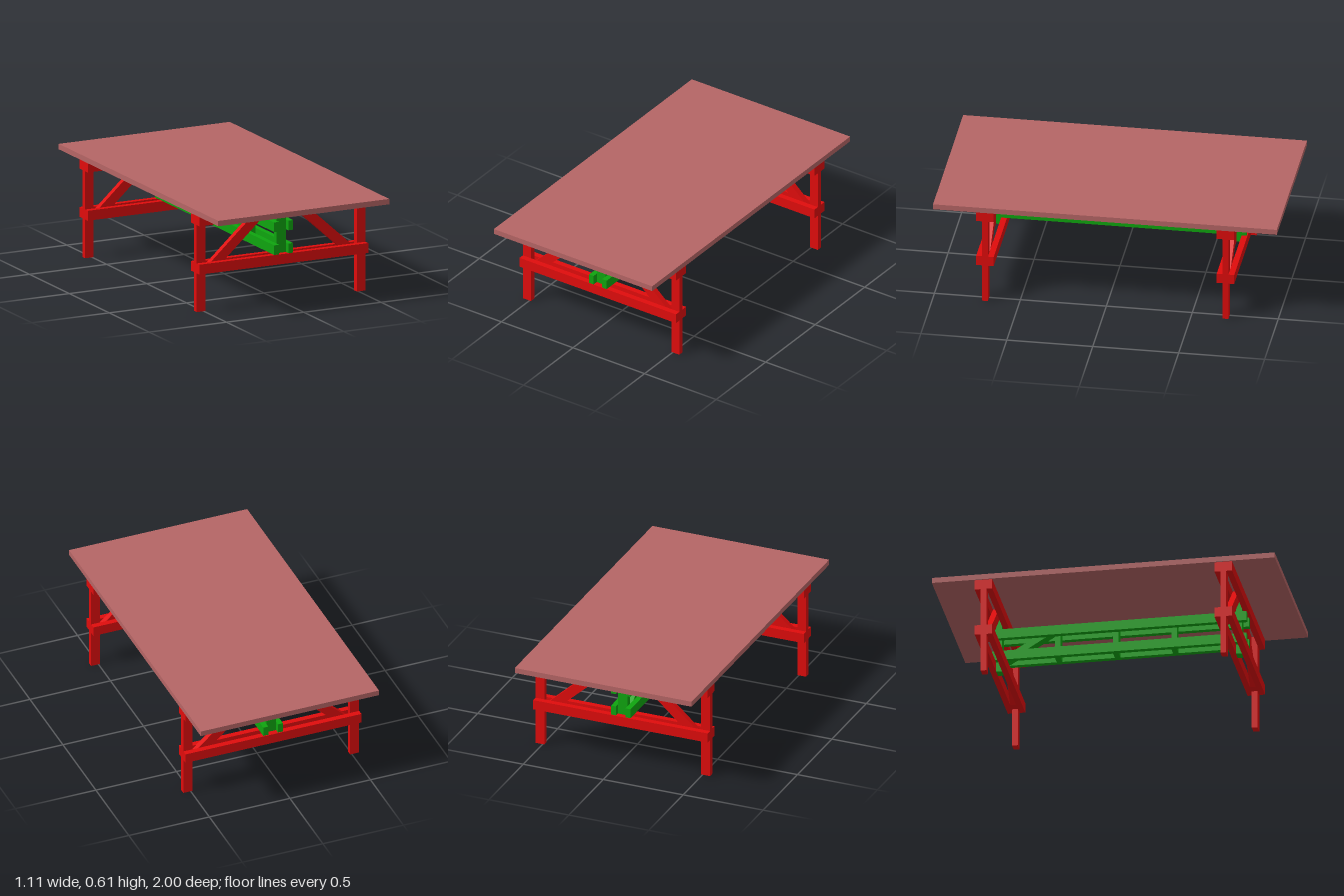
import * as THREE from 'three';

const red = new THREE.MeshStandardMaterial({ color: 0xe00c0c });
const green = new THREE.MeshStandardMaterial({ color: 0x0fa50f });
const wood = new THREE.MeshStandardMaterial({ color: 0xb56565 });

// Box given by its minimum and maximum corners
function board(name, material, [x0, y0, z0], [x1, y1, z1]) {
  const mesh = new THREE.Mesh(new THREE.BoxGeometry(x1 - x0, y1 - y0, z1 - z0), material);
  mesh.position.set((x0 + x1) / 2, (y0 + y1) / 2, (z0 + z1) / 2);
  mesh.name = name;
  return mesh;
}

// Flat outline in the xy plane, extruded evenly about z = 0
function plate(name, material, points, thickness) {
  const shape = new THREE.Shape(points.map(([x, y]) => new THREE.Vector2(x, y)));
  const geometry = new THREE.ExtrudeGeometry(shape, { depth: thickness, bevelEnabled: false });
  geometry.translate(0, 0, -thickness / 2);
  const mesh = new THREE.Mesh(geometry, material);
  mesh.name = name;
  return mesh;
}

const T = 0.034; // board thickness of the trestles
const TOP = 0.575; // underside of the table top

// Trestle: legs and braces sandwiched between paired rails
function trestle(name) {
  const group = new THREE.Group();
  group.name = name;
  for (const side of [-1, 1]) {
    const legX = [0.49, 0.546].map((x) => x * side).sort((a, b) => a - b);
    group.add(board('leg', red, [legX[0], 0, -T / 2], [legX[1], TOP, T / 2]));

    const outline = [[0.05, TOP], [0.432, 0.23], [0.49, 0.23], [0.49, 0.255], [0.135, TOP]];
    group.add(plate('diagonalBrace', red, outline.map(([x, y]) => [x * side, y]), T));

    const z = side * T;
    group.add(board('upperRail', red, [-0.546, 0.516, z - T / 2], [0.546, TOP, z + T / 2]));
    group.add(board('lowerRail', red, [-0.546, 0.23, z - T / 2], [0.546, 0.289, z + T / 2]));
  }
  // Centre post that carries the stretcher
  group.add(board('centrePost', green, [-0.03, 0.23, -T / 2], [0.03, TOP, T / 2]));
  return group;
}

// Long stretcher: paired beams with spacer posts and one brace between them
function stretcher() {
  const group = new THREE.Group();
  group.name = 'stretcher';
  for (const x of [-0.061, 0.03]) {
    group.add(board('lowerBeam', green, [x, 0.289, -0.745], [x + 0.031, 0.346, 0.748]));
    group.add(board('upperBeam', green, [x, 0.425, -0.745], [x + 0.031, 0.482, 0.748]));
  }
  for (const z of [-0.358, -0.019, 0.321]) {
    group.add(board('spacerPost', green, [-0.03, 0.289, z - 0.016], [0.03, 0.482, z + 0.016]));
  }
  // Outline drawn along z, then turned into the lengthwise plane
  const outline = [
    [-0.375, 0.482], [-0.405, 0.482], [-0.683, 0.313],
    [-0.683, 0.289], [-0.65, 0.289], [-0.375, 0.456],
  ];
  const brace = plate('stretcherBrace', green, outline, 0.06);
  brace.rotation.y = -Math.PI / 2;
  group.add(brace);
  return group;
}

export function createModel() {
  const model = new THREE.Group();
  model.name = 'trestleTable';
  model.add(board('tableTop', wood, [-0.553, TOP, -1], [0.553, 0.607, 1]));
  for (const [name, z] of [['frontTrestle', 0.699], ['backTrestle', -0.7]]) {
    const end = trestle(name);
    end.position.z = z;
    model.add(end);
  }
  model.add(stretcher());
  return model;
}
